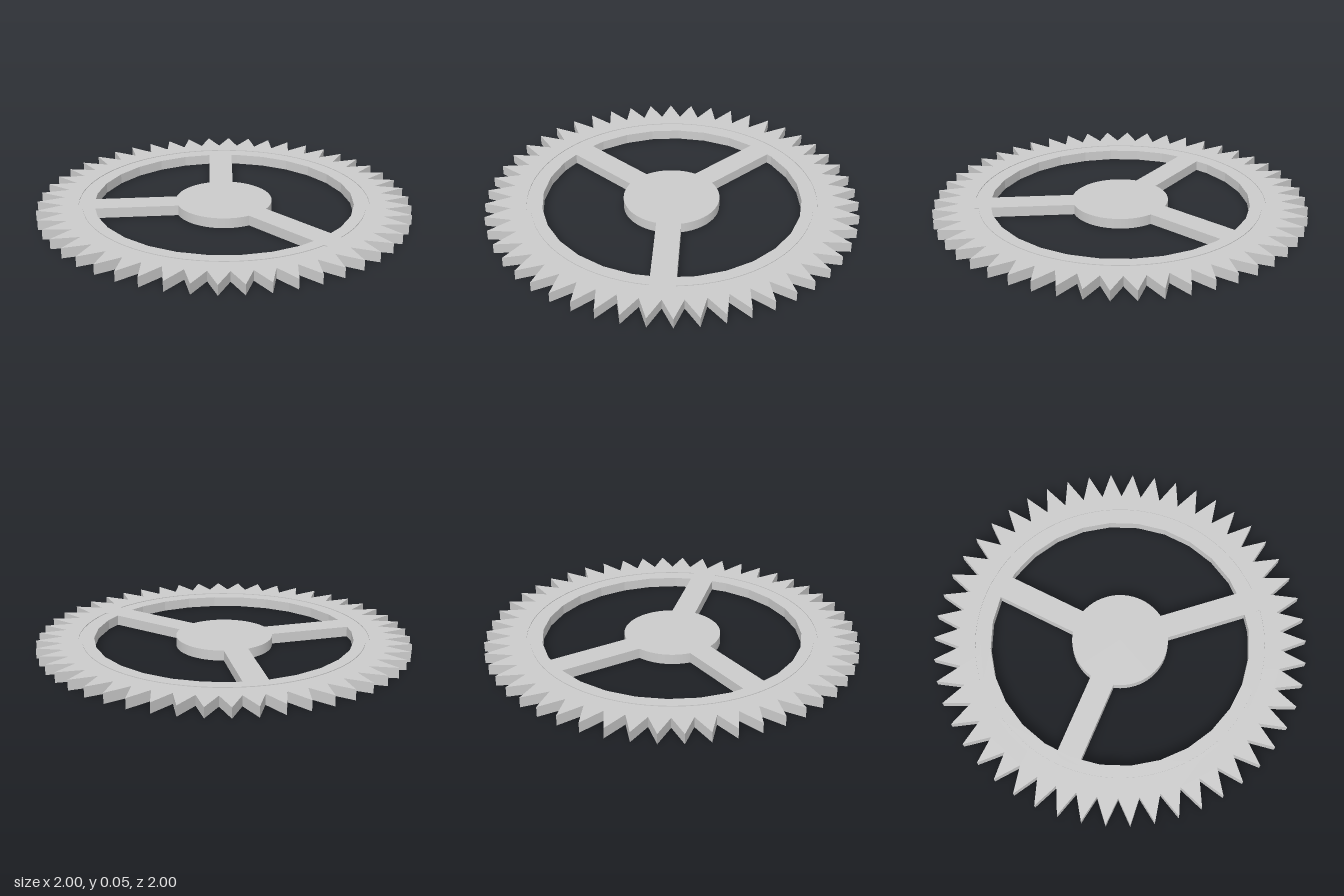
import * as THREE from 'three';

const HEIGHT = 0.055, GROOVE_DEPTH = 0.004;
const TEETH = 50, TIP = 1, ROOT = 0.862;
const INNER = 0.695, GROOVE_IN = 0.757, GROOVE_OUT = 0.778;

// Points of a regular polygon with a corner on the +y axis of the shape
function ring(radius, sides) {
  return Array.from({ length: sides }, (_, i) => {
    const a = Math.PI / 2 + (i / sides) * Math.PI * 2;
    return new THREE.Vector2(Math.cos(a) * radius, Math.sin(a) * radius);
  });
}

// Alternating tip and root points of the saw-like teeth
function toothedOutline() {
  return ring(1, TEETH * 2).map((p, i) => p.multiplyScalar(i % 2 ? ROOT : TIP));
}

// Flat plate with a hole, lying on the ground plane between y0 and y1
function plate(outline, hole, y0, y1) {
  const shape = new THREE.Shape(outline);
  shape.holes.push(new THREE.Path(hole));
  const geo = new THREE.ExtrudeGeometry(shape, { depth: y1 - y0, bevelEnabled: false });
  return geo.rotateX(-Math.PI / 2).translate(0, y0, 0);
}

export function createModel() {
  const model = new THREE.Group();
  model.name = 'gearWheel';
  const material = new THREE.MeshStandardMaterial({ color: 0xcccccc });
  const add = (name, geo) => {
    const mesh = new THREE.Mesh(geo, material);
    mesh.name = name;
    model.add(mesh);
    return mesh;
  };

  // Toothed rim: a base plate and two top layers leaving a fine circular groove
  const floor = HEIGHT - GROOVE_DEPTH;
  const bore = ring(INNER, 28);
  add('rimBase', plate(toothedOutline(), bore, 0, floor));
  add('toothedRimTop', plate(toothedOutline(), ring(GROOVE_OUT, 72), floor, HEIGHT));
  add('innerRimTop', plate(ring(GROOVE_IN, 72), bore, floor, HEIGHT));

  // Central hub
  const hub = add('hub', new THREE.CylinderGeometry(0.258, 0.258, HEIGHT, 64));
  hub.position.set(0, HEIGHT / 2, 0.002);

  // Three spokes; the first one bridges the groove
  const spokes = [
    { angle: 0, end: GROOVE_OUT, x: 0, z: 0.003 },
    { angle: 135.5, end: 0.72, x: -0.009, z: 0.01 },
    { angle: 230, end: 0.72, x: 0, z: 0.004 },
  ];
  for (const { angle, end, x, z } of spokes) {
    const start = 0.15;
    const geo = new THREE.BoxGeometry(end - start, HEIGHT, 0.13);
    geo.translate((start + end) / 2, HEIGHT / 2, 0);
    const spoke = add('spoke', geo);
    spoke.rotation.y = THREE.MathUtils.degToRad(angle);
    spoke.position.set(x, 0, z);
  }
  return model;
}
